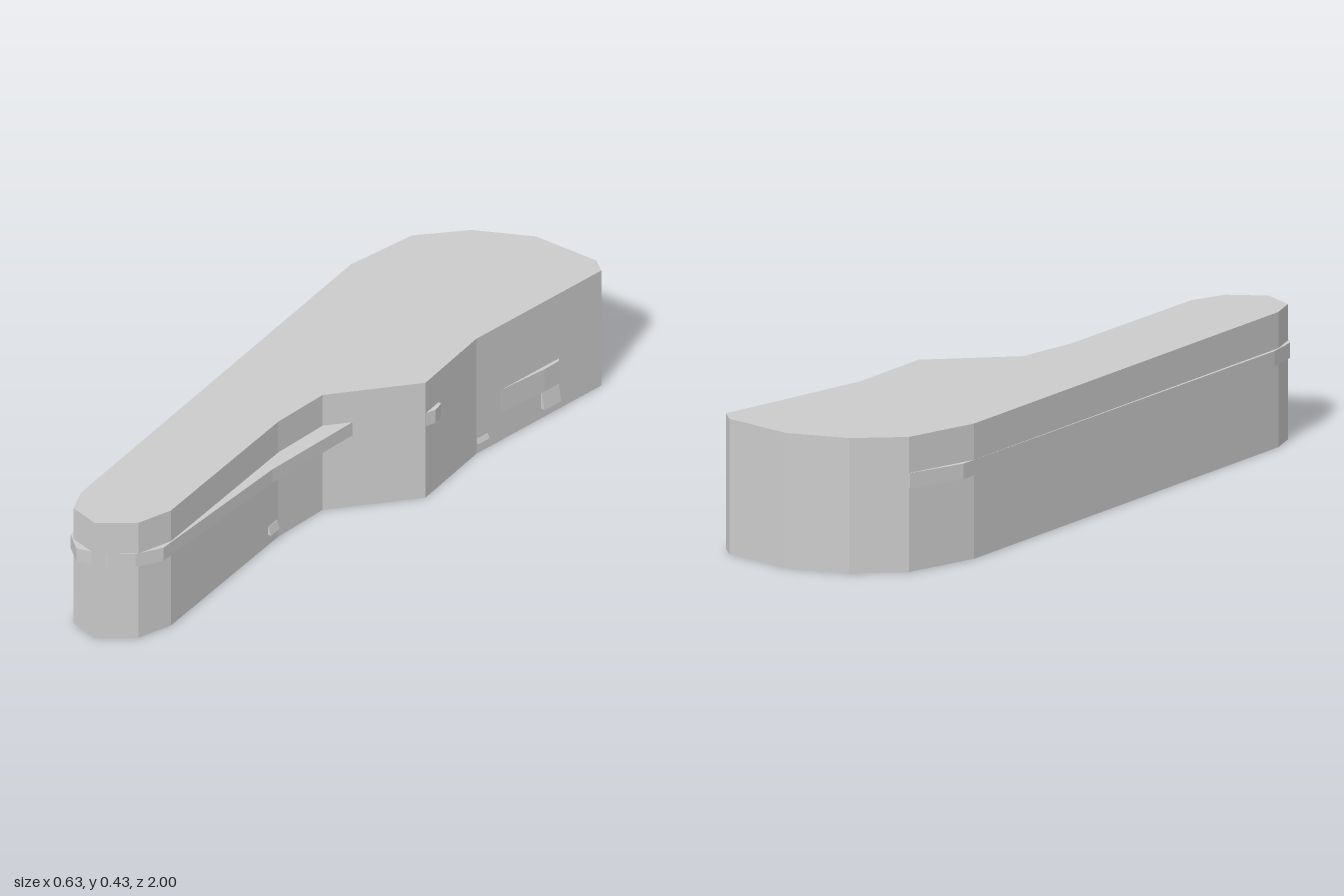
import * as THREE from 'three';

const material = new THREE.MeshStandardMaterial({ color: 0xcccccc, flatShading: true });

// Vertical prism from an outline of [x, z] points between two heights
function prism(name, outline, y0, y1) {
  const shape = new THREE.Shape(outline.map(([x, z]) => new THREE.Vector2(x, -z)));
  const geometry = new THREE.ExtrudeGeometry(shape, { depth: y1 - y0, bevelEnabled: false });
  geometry.rotateX(-Math.PI / 2);
  geometry.translate(0, y0, 0);
  const mesh = new THREE.Mesh(geometry, material);
  mesh.name = name;
  return mesh;
}

// Small block widening toward its base, turned to lie along a side wall
function foot(name, x, z, y0, y1, length, top, bottom, turn) {
  const profile = new THREE.Shape([
    new THREE.Vector2(-0.01, y0), new THREE.Vector2(bottom, y0),
    new THREE.Vector2(top, y1), new THREE.Vector2(-0.01, y1),
  ]);
  const geometry = new THREE.ExtrudeGeometry(profile, { depth: length, bevelEnabled: false });
  geometry.translate(0, 0, -length / 2);
  const mesh = new THREE.Mesh(geometry, material);
  mesh.position.set(x, 0, z);
  mesh.rotation.y = turn;
  mesh.name = name;
  return mesh;
}

export function createModel() {
  const group = new THREE.Group();
  group.name = 'instrumentCase';

  // Main case: wide rounded end at the back, slim neck at the front
  group.add(prism('caseBody', [
    [0.27, -1], [0.313, -0.968], [0.22, -0.46], [0.232, -0.187], [0.02, 0.05],
    [-0.005, 0.24], [0.008, 0.8], [-0.033, 0.91], [-0.137, 0.99], [-0.235, 0.967],
    [-0.265, 0.89], [-0.313, -0.54], [-0.254, -0.77], [-0.127, -0.9], [0.05, -0.99],
  ], 0, 0.43));

  // Rim band, standing proud of the neck and partly sunk into the body
  group.add(prism('rimBand', [
    [0.309, -0.95], [0.305, -0.965], [0.2, -0.96], [0.2, -0.5], [0.225, -0.26],
    [0.24, -0.255], [0.245, -0.22], [0.231, -0.187], [0.2, -0.17], [0.082, -0.021],
    [0.033, 0.32], [0.01, 0.84], [-0.038, 0.917], [-0.105, 0.968], [-0.15, 0.986],
    [-0.2, 1], [-0.255, 0.955], [-0.276, 0.86], [-0.315, -0.59], [-0.257, -0.767],
    [-0.17, -0.85], [0.1, -0.9],
  ], 0.266, 0.315));

  // Side plate that rises out of the wide end's wall
  group.add(prism('sidePlate', [
    [0.226, -0.51], [0.2, -0.51], [0.25, -0.8], [0.277, -0.8], [0.29, -0.785], [0.28, -0.725],
  ], 0.104, 0.188));

  // Flared foot under the plate and two tiny studs along the wall
  group.add(foot('plateFoot', 0.272, -0.757, 0.038, 0.104, 0.07, 0.006, 0.018, -0.18));
  group.add(foot('frontStud', -0.004, 0.27, 0.038, 0.068, 0.045, 0.001, 0.01, 0.02));
  group.add(foot('middleStud', 0.224, -0.485, 0.038, 0.055, 0.045, 0.001, 0.008, -0.18));
  return group;
}
